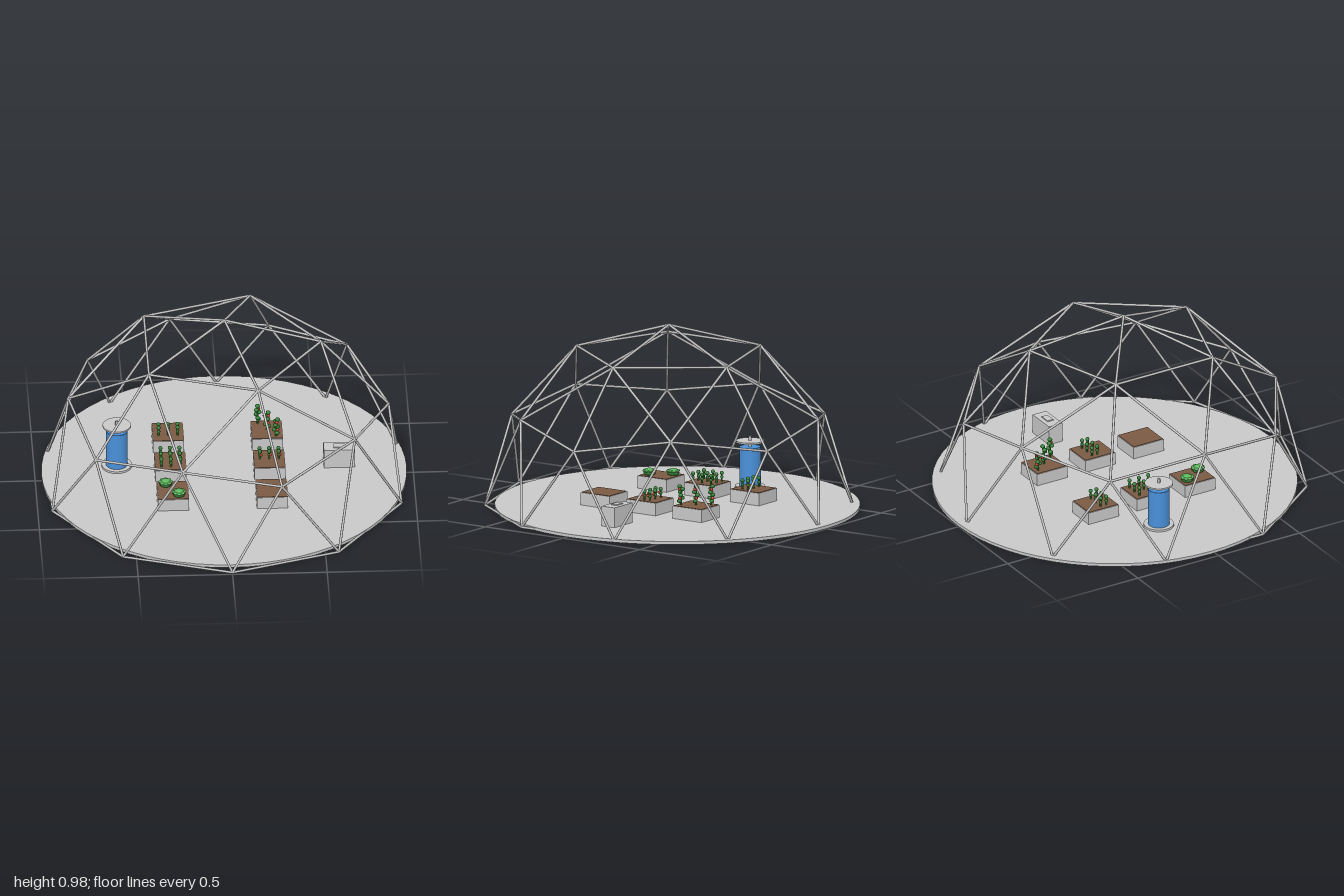
import * as THREE from 'three';

const mat = (name, color) => {
  const m = new THREE.MeshStandardMaterial({ color });
  m.name = name;
  return m;
};

export function createModel() {
  const steel = mat('steel', 0xbcbcbc);
  const concrete = mat('concrete', 0xc8c8c8);
  const soil = mat('soil', 0x7a5a44);
  const blue = mat('water blue', 0x4a90d9);
  const green = mat('leaf green', 0x2f7d32);
  const lightGreen = mat('light leaf green', 0x5cb85c);
  const red = mat('fruit red', 0xc8402f);

  const model = new THREE.Group();
  model.name = 'domeGreenhouse';

  const add = (parent, name, geometry, material, x = 0, y = 0, z = 0) => {
    const mesh = new THREE.Mesh(geometry, material);
    mesh.name = name;
    mesh.position.set(x, y, z);
    parent.add(mesh);
    return mesh;
  };
  const group = (name, x = 0, y = 0, z = 0) => {
    const g = new THREE.Group();
    g.name = name;
    g.position.set(x, y, z);
    model.add(g);
    return g;
  };
  const box = (w, h, d) => new THREE.BoxGeometry(w, h, d);
  const cyl = (r, h, n = 32) => new THREE.CylinderGeometry(r, r, h, n);
  const ball = (r) => new THREE.SphereGeometry(r, 10, 8);

  // Floor slab
  const floorY = 0.016;
  add(model, 'floor', cyl(0.966, 0.017, 64), concrete, 0, 0.0105, -0.034);

  // Geodesic dome frame: rings of nodes given by angle and sine of height
  const dome = group('domeFrame', 0, 0.008, 0.021);
  const R = 0.971;
  const node = (deg, sinLat) => {
    const a = THREE.MathUtils.degToRad(deg);
    const r = R * Math.sqrt(1 - sinLat * sinLat);
    return new THREE.Vector3(r * Math.cos(a), R * sinLat, r * Math.sin(a));
  };
  const up = new THREE.Vector3(0, 1, 0);
  const strut = (a, b, name = 'strut') => {
    const dir = b.clone().sub(a);
    const mesh = add(dome, name, cyl(0.007, dir.length(), 8), steel);
    mesh.position.copy(a).add(b).multiplyScalar(0.5);
    mesh.quaternion.setFromUnitVectors(up, dir.normalize());
  };
  const apex = new THREE.Vector3(0, R, 0);
  const upper = (k) => node(72 * k, 0.8507);
  const corner = (k) => node(72 * k, 0.4472);
  const middle = (k) => node(72 * k + 36, 0.5257);
  const base = (deg) => node(deg, 0);
  for (let k = 0; k < 5; k++) {
    strut(apex, upper(k));
    strut(upper(k), upper(k + 1));
    strut(upper(k), corner(k));
    for (const j of [k, k - 1]) {
      strut(upper(k), middle(j));
      strut(corner(k), middle(j));
    }
    for (const s of [-18, 18]) {
      strut(corner(k), base(72 * k + s));
      strut(middle(k), base(72 * k + 36 + s));
    }
  }
  for (let i = 0; i < 10; i++) strut(base(18 + 36 * i), base(54 + 36 * i), 'footRing');

  // Raised beds: two columns of three
  const bedTop = 0.07;
  const bed = (name, x, z) => {
    const g = group(name, x, floorY, z);
    add(g, 'bedBox', box(0.165, bedTop, 0.187), concrete, 0, bedTop / 2, 0);
    add(g, 'bedSoil', box(0.159, 0.006, 0.181), soil, 0, bedTop, 0);
    return g;
  };
  const [leftX, rightX] = [0.239, -0.284];
  const zs = [-0.325, -0.027, 0.272];
  const squashBed = bed('squashBed', rightX, zs[2]);
  const seedlingBed = bed('seedlingBed', rightX, zs[1]);
  const rowBed = bed('rowBed', rightX, zs[0]);
  bed('emptyBed', leftX, zs[2]);
  const pepperBed = bed('pepperBed', leftX, zs[1]);
  const tomatoBed = bed('tomatoBed', leftX, zs[0]);

  // Seedling: stem, a leafy middle and a round tip
  const sprout = (g, x, z, h) => {
    add(g, 'stem', cyl(0.005, h, 8), green, x, bedTop + h / 2, z);
    add(g, 'tip', ball(0.011), green, x, bedTop + h, z);
    add(g, 'leaf', ball(0.009), green, x, bedTop + h * 0.55, z);
  };
  for (const dx of [-0.05, 0, 0.05]) {
    for (const dz of [-0.058, 0, 0.058]) sprout(seedlingBed, dx, dz, 0.048);
    for (const dz of [0, 0.035]) sprout(rowBed, dx, dz, 0.05);
    for (const dz of [-0.033, 0]) {
      sprout(pepperBed, dx, dz, 0.048);
      add(pepperBed, 'pepper', ball(0.007), red, dx + 0.007, bedTop + 0.03, dz + 0.007);
    }
  }

  // Tall fruiting vines set along the diagonal
  for (const i of [-1, 0, 1]) {
    const x = i * 0.046, z = i * 0.065;
    add(tomatoBed, 'vineStem', cyl(0.005, 0.105, 8), green, x, bedTop + 0.0525, z);
    for (let n = 0; n < 6; n++) {
      const a = n * 2.4 + i;
      const y = bedTop + 0.025 + n * 0.016;
      const [dx, dz] = [0.009 * Math.cos(a), 0.009 * Math.sin(a)];
      add(tomatoBed, 'vineLeaf', ball(0.013), green, x + dx, y, z + dz).scale.y = 0.8;
      if (n === 1 || n === 4) add(tomatoBed, 'vineFruit', ball(0.009), red, x - dx, y, z - dz);
    }
  }

  // Low mounds: dark underside leaves with a lighter rosette on top
  for (const [x, z] of [[-0.036, -0.052], [0.03, 0.054]]) {
    add(squashBed, 'mound', ball(0.034), green, x, bedTop + 0.015, z).scale.y = 0.55;
    add(squashBed, 'crown', ball(0.026), lightGreen, x, bedTop + 0.026, z).scale.y = 0.5;
    for (let i = 0; i < 8; i++) {
      const a = (i / 8) * Math.PI * 2;
      add(squashBed, 'crownLeaf', ball(0.013), lightGreen,
        x + 0.025 * Math.cos(a), bedTop + 0.025, z + 0.025 * Math.sin(a)).scale.y = 0.5;
    }
  }

  // Water tank with base, lid plate and centre pipe
  const tank = group('waterTank', -0.564, floorY, -0.105);
  add(tank, 'tankBase', cyl(0.08, 0.014), concrete, 0, 0.007, 0);
  add(tank, 'tankBody', cyl(0.057, 0.206), blue, 0, 0.117, 0);
  add(tank, 'tankTop', cyl(0.056, 0.004), blue, 0, 0.221, 0);
  add(tank, 'tankLid', cyl(0.075, 0.009), concrete, 0, 0.252, 0);
  add(tank, 'tankPipe', cyl(0.008, 0.06, 12), steel, 0, 0.25, 0);

  // Equipment box with a hatch
  const unit = group('equipmentBox', 0.611, floorY, -0.077);
  add(unit, 'boxBody', box(0.165, 0.11, 0.083), concrete, 0, 0.055, 0);
  add(unit, 'boxHatch', box(0.06, 0.008, 0.035), concrete, 0, 0.112, 0);

  return model;
}
